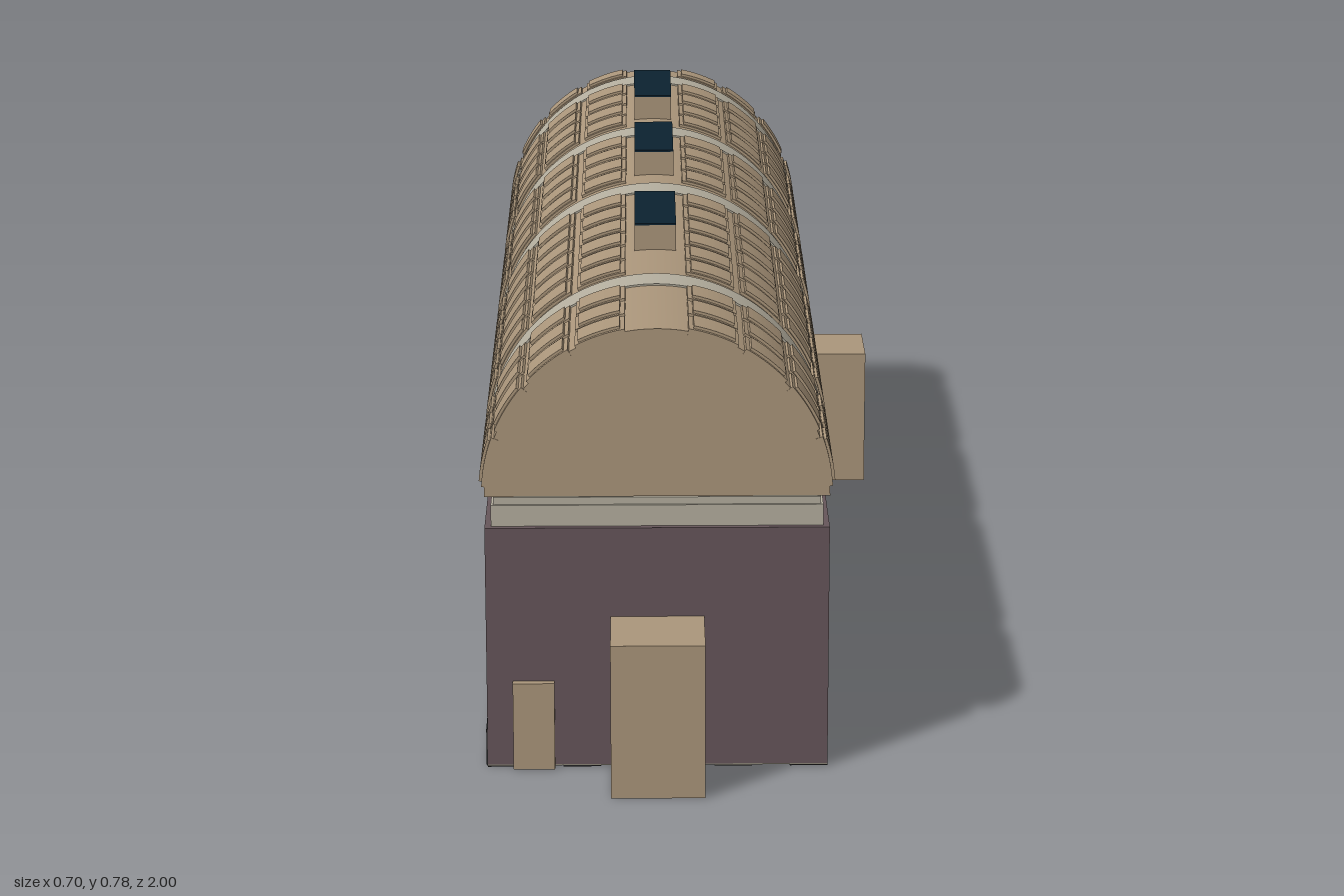
import * as THREE from 'three';
import { mergeGeometries } from 'three/addons/utils/BufferGeometryUtils.js';

const mat = (name, color) => {
  const m = new THREE.MeshStandardMaterial({ color });
  m.name = name;
  return m;
};

const CX = -0.065;            // hall axis
const Z0 = -0.98, Z1 = 0.865; // hall back and front
const HALF = 0.275;           // half width and vault radius
const SPRING = 0.463;         // height where the vault starts

export function createModel() {
  const root = new THREE.Group();
  root.name = 'vaultedHall';
  const wall = mat('plumWall', 0x66565a);
  const stone = mat('tanStone', 0xab967b);
  const trim = mat('paleTrim', 0xb5af9f);
  const glass = mat('darkGlass', 0x0c2230);
  const black = mat('blackMarble', 0x232323);
  const floorMat = mat('greyFloor', 0x8c8577);

  const add = (name, geometry, material, parent = root) => {
    const mesh = new THREE.Mesh(geometry, material);
    mesh.name = name;
    parent.add(mesh);
    return mesh;
  };
  // Box given by its limits on each axis
  const span = (x0, x1, y0, y1, z0, z1) =>
    new THREE.BoxGeometry(x1 - x0, y1 - y0, z1 - z0)
      .translate((x0 + x1) / 2, (y0 + y1) / 2, (z0 + z1) / 2);
  // Solid half cylinder lying along z, flat side down
  const halfDrum = (r, z0, z1) =>
    new THREE.CylinderGeometry(r, r, z1 - z0, 64, 1, false, Math.PI / 2, Math.PI)
      .rotateX(Math.PI / 2).translate(CX, SPRING, (z0 + z1) / 2);
  // Curved pad on the vault, between two angles from the crown
  const pad = (a0, a1, r, z0, z1) => {
    const s = new THREE.Shape();
    s.absarc(0, 0, r, Math.PI / 2 - a1, Math.PI / 2 - a0, false);
    s.absarc(0, 0, 0.268, Math.PI / 2 - a0, Math.PI / 2 - a1, true);
    return new THREE.ExtrudeGeometry(s, { depth: z1 - z0, bevelEnabled: false, curveSegments: 4 })
      .translate(CX, SPRING, z0);
  };

  // Walls
  const L = CX - HALF, R = CX + HALF;
  add('walls', span(L, R, 0.004, 0.408, Z0, Z1), wall);

  // Dark skirting on the left-hand and rear walls
  add('sideSkirting', span(L - 0.002, L, 0.002, 0.065, Z0, Z1), black);
  add('rearSkirting', span(L - 0.002, R, 0.002, 0.065, Z0 - 0.002, Z0), black);

  // Floor with chequered tiles on its underside
  add('floor', span(L, R, 0.002, 0.004, Z0, Z1), floorMat);
  const tiles = [], nx = 9, nz = 29;
  const px = (R - L) / nx, pz = (Z1 - Z0) / nz;
  for (let i = 0; i < nx; i++) {
    for (let j = i % 2; j < nz; j += 2) {
      const x = L + i * px, z = Z0 + j * pz;
      tiles.push(span(x, x + px, 0, 0.002, z, z + pz));
    }
  }
  add('floorTiles', mergeGeometries(tiles), black);

  // Stepped cornice
  [[0.408, 0.443, 0.265], [0.443, 0.455, 0.261], [0.455, SPRING, 0.244]].forEach(([y0, y1, h], i) => {
    const inset = HALF - h;
    add('cornice' + (i + 1), span(CX - h, CX + h, y0, y1, Z0 + inset, Z1 - inset), trim);
  });

  // Barrel vault with pale ribs
  add('vault', halfDrum(HALF, Z0, Z1), stone);
  add('vaultUnderside', span(L, R, SPRING - 0.002, SPRING, Z0, Z1), stone);
  const ribs = [0.582, -0.022, -0.455, -0.887];
  for (const z of ribs) {
    add('rib', halfDrum(0.278, z - 0.032, z + 0.032), trim);
    add('ribFoot', span(L - 0.004, L - 0.002, 0.012, 0.05, z - 0.003, z + 0.003), trim);
  }

  // Coffers: two-step curved pads, four rows a side: [start z, count, length]
  const bays = [[0.614, 3, 0.075], [0.015, 6, 0.075], [-0.419, 4, 0.075], [-0.852, 4, 0.075], [-0.978, 1, 0.054]];
  const rad = THREE.MathUtils.degToRad;
  const lower = [], upper = [];
  for (const [start, count, len] of bays) {
    for (let k = 0; k < count; k++) {
      const z0 = start + k * 0.0885 - (count === 4 ? k * 0.0005 : 0);
      for (const side of [-1, 1]) {
        for (let row = 0; row < 4; row++) {
          const c = side * rad(19 + row * 19.8), h = rad(8.6), g = rad(1.5);
          lower.push(pad(c - h, c + h, 0.2795, z0, z0 + len));
          upper.push(pad(c - h + g, c + h - g, 0.284, z0 + 0.007, z0 + len - 0.007));
        }
      }
    }
  }
  add('cofferFrames', mergeGeometries(lower), stone);
  add('cofferPanels', mergeGeometries(upper), stone);

  // Skylights along the crown
  for (const z of [0.28, -0.235, -0.67]) {
    const g = new THREE.Group();
    g.name = 'skylight';
    root.add(g);
    add('skylightCurb', span(-0.1, -0.03, 0.72, 0.78, z - 0.11, z + 0.11), stone, g);
    add('skylightGlass', span(-0.1, -0.03, 0.78, 0.783, z - 0.11, z + 0.11), glass, g);
  }

  // Half-round rear window with two mullions
  add('rearWindowFrame', halfDrum(0.155, -0.994, Z0), stone);
  add('rearWindowGlass', halfDrum(0.153, -0.998, -0.994), glass);
  for (const s of [-1, 1]) {
    const x = CX + s * 0.052;
    add('mullion', span(x - 0.003, x + 0.003, SPRING, SPRING + 0.143, -1, -0.998), trim);
  }

  // Doorway blocks
  add('frontPortal', span(-0.14, 0.01, 0, 0.258, Z1, 1), stone);
  add('sidePortal', span(R, 0.347, 0, 0.258, -0.74, -0.6), stone);
  add('smallFrontDoor', span(-0.298, -0.231, 0, 0.148, Z1, 0.877), stone);

  return root;
}
